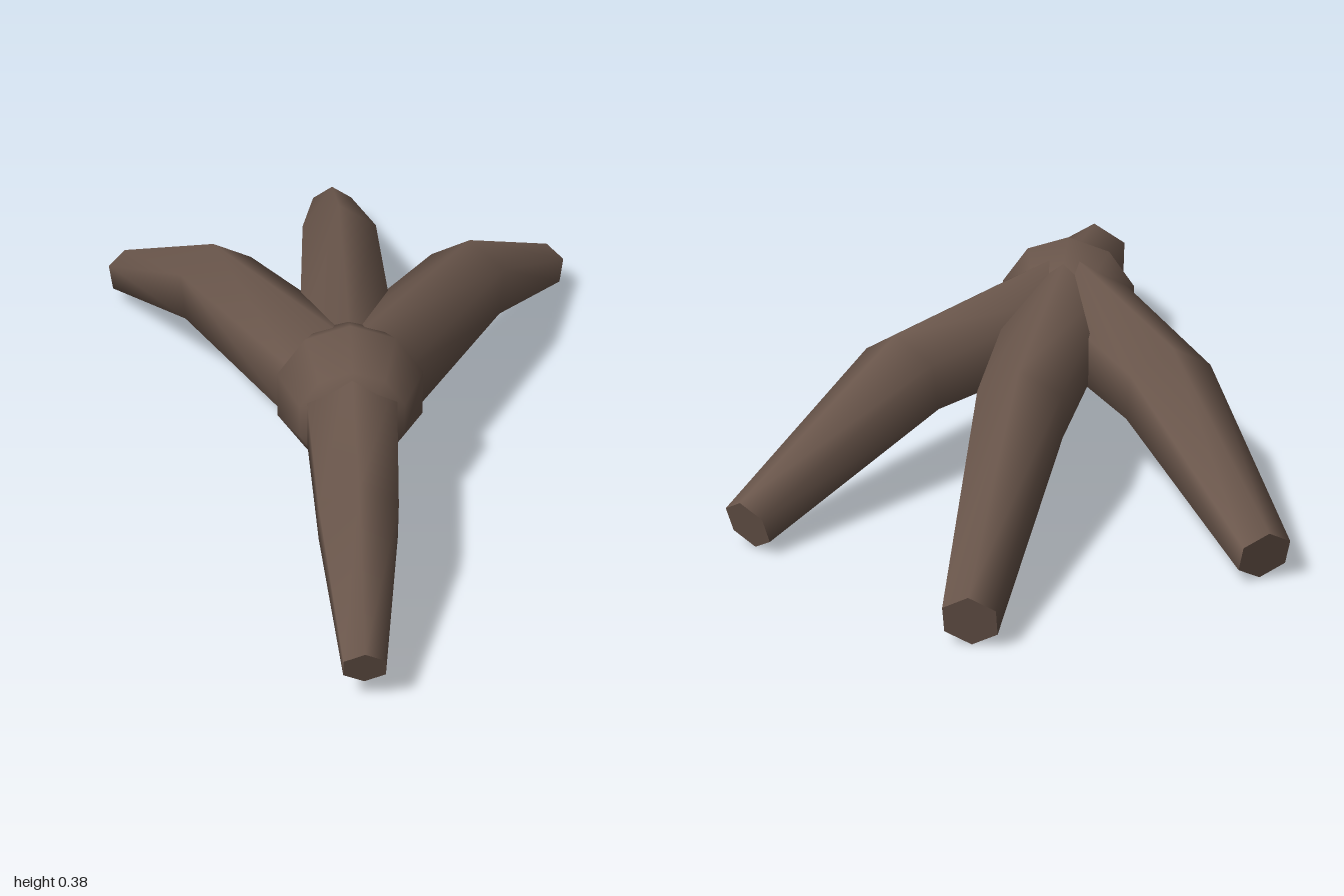
import * as THREE from 'three';

const SIDES = 6;
const HUB = new THREE.Vector3(0, 0.232, 0.26);

// Hexagonal tube lofted along a bent path in the z/y plane, capped at both ends.
// stations: [distance from hub, height, radius]
function toeGeometry(stations) {
  const centers = stations.map(([d, y]) => new THREE.Vector2(d, y));
  const positions = [], index = [];
  const rings = stations.map(([d, y, r], i) => {
    // ring plane bisects the neighbouring segments
    const tangent = new THREE.Vector2();
    if (i > 0) tangent.add(centers[i].clone().sub(centers[i - 1]).normalize());
    if (i < centers.length - 1) tangent.add(centers[i + 1].clone().sub(centers[i]).normalize());
    tangent.normalize();
    const ring = [];
    for (let k = 0; k < SIDES; k++) {
      const a = (k / SIDES) * Math.PI * 2;
      const up = Math.cos(a) * r;
      ring.push([Math.sin(a) * r, y + up * tangent.x, d - up * tangent.y]);
    }
    return ring;
  });
  rings.forEach((ring) => ring.forEach((p) => positions.push(...p)));

  // side walls share vertices for smooth shading
  for (let i = 0; i < rings.length - 1; i++) {
    for (let k = 0; k < SIDES; k++) {
      const a = i * SIDES + k, b = i * SIDES + (k + 1) % SIDES;
      index.push(a, a + SIDES, b, b, a + SIDES, b + SIDES);
    }
  }
  // end caps use their own vertices so the rims stay sharp
  [rings[0], rings[rings.length - 1]].forEach((ring, end) => {
    const base = positions.length / 3;
    ring.forEach((p) => positions.push(...p));
    for (let k = 1; k < SIDES - 1; k++) {
      if (end === 0) index.push(base, base + k, base + k + 1);
      else index.push(base, base + k + 1, base + k);
    }
  });

  const geometry = new THREE.BufferGeometry();
  geometry.setAttribute('position', new THREE.Float32BufferAttribute(positions, 3));
  geometry.setIndex(index);
  geometry.computeVertexNormals();
  return geometry;
}

export function createModel() {
  const foot = new THREE.Group();
  foot.name = 'clawFoot';
  const skin = new THREE.MeshStandardMaterial({ color: 0x6b574c });

  // ankle joint: coarse ball with its poles along z
  const ball = new THREE.SphereGeometry(0.153, 10, 4);
  ball.rotateX(Math.PI / 2);
  ball.rotateZ(Math.PI / 2);
  const joint = new THREE.Mesh(ball, skin);
  joint.name = 'ankleJoint';
  joint.position.copy(HUB);
  foot.add(joint);

  // toes fan out from the joint: root, knuckle, tip
  const addToe = (name, heading, stations) => {
    const toe = new THREE.Mesh(toeGeometry(stations), skin);
    toe.name = name;
    toe.position.z = HUB.z;
    toe.rotation.y = heading;
    foot.add(toe);
  };
  addToe('frontToe', 0, [[0.02, 0.23, 0.106], [0.43, 0.203, 0.085], [0.722, 0.085, 0.0437]]);
  addToe('middleBackToe', Math.PI, [[0.04, 0.235, 0.117], [0.68, 0.229, 0.095], [1.245, 0.0575, 0.0546]]);
  for (const side of [1, -1]) {
    addToe(side > 0 ? 'leftBackToe' : 'rightBackToe', side * 2.643,
      [[0.04, 0.232, 0.119], [0.565, 0.222, 0.1], [1.025, 0.06, 0.0546]]);
  }
  return foot;
}
